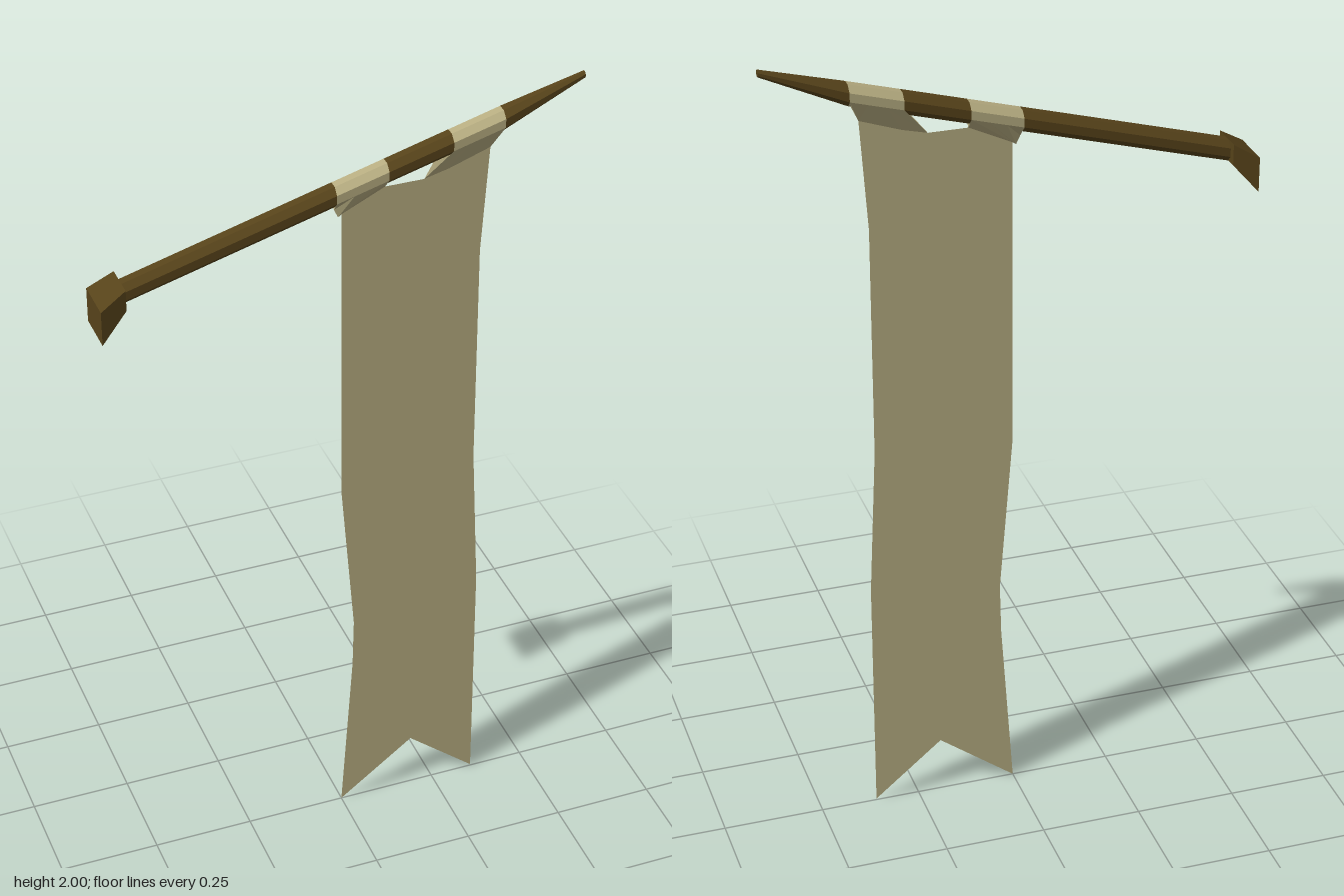
import * as THREE from 'three';

const wood = new THREE.MeshStandardMaterial({ color: 0x57431a, flatShading: true });
const fabric = new THREE.MeshStandardMaterial({ color: 0xb8ae82, flatShading: true, side: THREE.DoubleSide });

// Closed prism between two upright n-sided sections [x, centreY, halfHeight, halfDepth]
function loft(name, n, from, to, material) {
  const ring = ([x, y, h, d]) => Array.from({ length: n }, (_, i) => {
    const a = ((i + 0.5) / n) * Math.PI * 2, k = 1 / Math.cos(Math.PI / n);
    return [x, y + Math.cos(a) * h * k, Math.sin(a) * d * k];
  });
  const A = ring(from), B = ring(to), p = [];
  for (let i = 0; i < n; i++) {
    const j = (i + 1) % n;
    p.push(A[i], A[j], B[j], A[i], B[j], B[i]);
    if (i > 0 && j > 0) p.push(A[0], A[j], A[i], B[0], B[i], B[j]);
  }
  return mesh(name, p, material);
}

function mesh(name, points, material) {
  const g = new THREE.BufferGeometry();
  g.setAttribute('position', new THREE.Float32BufferAttribute(points.flat(), 3));
  g.computeVertexNormals();
  const m = new THREE.Mesh(g, material);
  m.name = name;
  return m;
}

const R = 0.026;
const poleY = x => 1.663 + 0.281 * (x + 0.525);
const section = x => [x, poleY(x), R, R];

export function createModel() {
  const group = new THREE.Group();

  // Wall mount, flaring toward the wall
  group.add(loft('wallMount', 4, [-0.585, 1.611, 0.043, 0.055], [-0.523, 1.665, 0.026, 0.044], wood));

  // Sloping pole with two fabric bands
  const stops = [-0.525, -0.02, 0.105, 0.26, 0.385];
  for (let i = 0; i < 4; i++) {
    const band = i % 2 === 1;
    group.add(loft(band ? 'fabricBand' : 'poleShaft', 8, section(stops[i]), section(stops[i + 1]), band ? fabric : wood));
  }
  group.add(loft('poleTip', 8, section(0.385), [0.585, 1.992, 0.008, 0.008], wood));

  // Hanging cloth with a swallowtail end
  const outline = [
    [0, 1.75], [0, 0.98], [0.033, 0.57], [0.03, 0.44], [0, 0], [0.19, 0.145], [0.36, 0.003],
    [0.36, 0.62], [0.342, 1.0], [0.342, 1.58], [0.36, 1.85], [0.2, 1.8], [0.105, 1.8],
  ];
  const shape = new THREE.Shape(outline.map(([x, y]) => new THREE.Vector2(x, y)));
  const cloth = new THREE.Mesh(new THREE.ShapeGeometry(shape), fabric);
  cloth.name = 'bannerCloth';
  group.add(cloth);

  // Flaps joining the sides of each band to the cloth
  const flaps = [
    { x: [-0.02, 0.105], low: [[-0.018, 1.765], [-0.008, 1.744], [0, 1.75], [0.105, 1.8]] },
    { x: [0.26, 0.385], low: [[0.2, 1.8], [0.26, 1.815], [0.36, 1.85], [0.383, 1.9]] },
  ];
  for (const { x, low } of flaps) {
    for (const side of [1, -1]) {
      const p = [];
      const bottom = low.map(([bx, by]) => [bx, by, 0]);
      const top = low.map((_, i) => {
        const tx = THREE.MathUtils.lerp(x[0], x[1], i / (low.length - 1));
        return [tx, poleY(tx) - R * 0.41, side * R];
      });
      for (let i = 0; i < low.length - 1; i++) {
        const quad = [bottom[i], bottom[i + 1], top[i + 1], bottom[i], top[i + 1], top[i]];
        p.push(...(side > 0 ? quad : quad.reverse()));
      }
      group.add(mesh(side > 0 ? 'frontFlap' : 'backFlap', p, fabric));
    }
  }
  return group;
}
